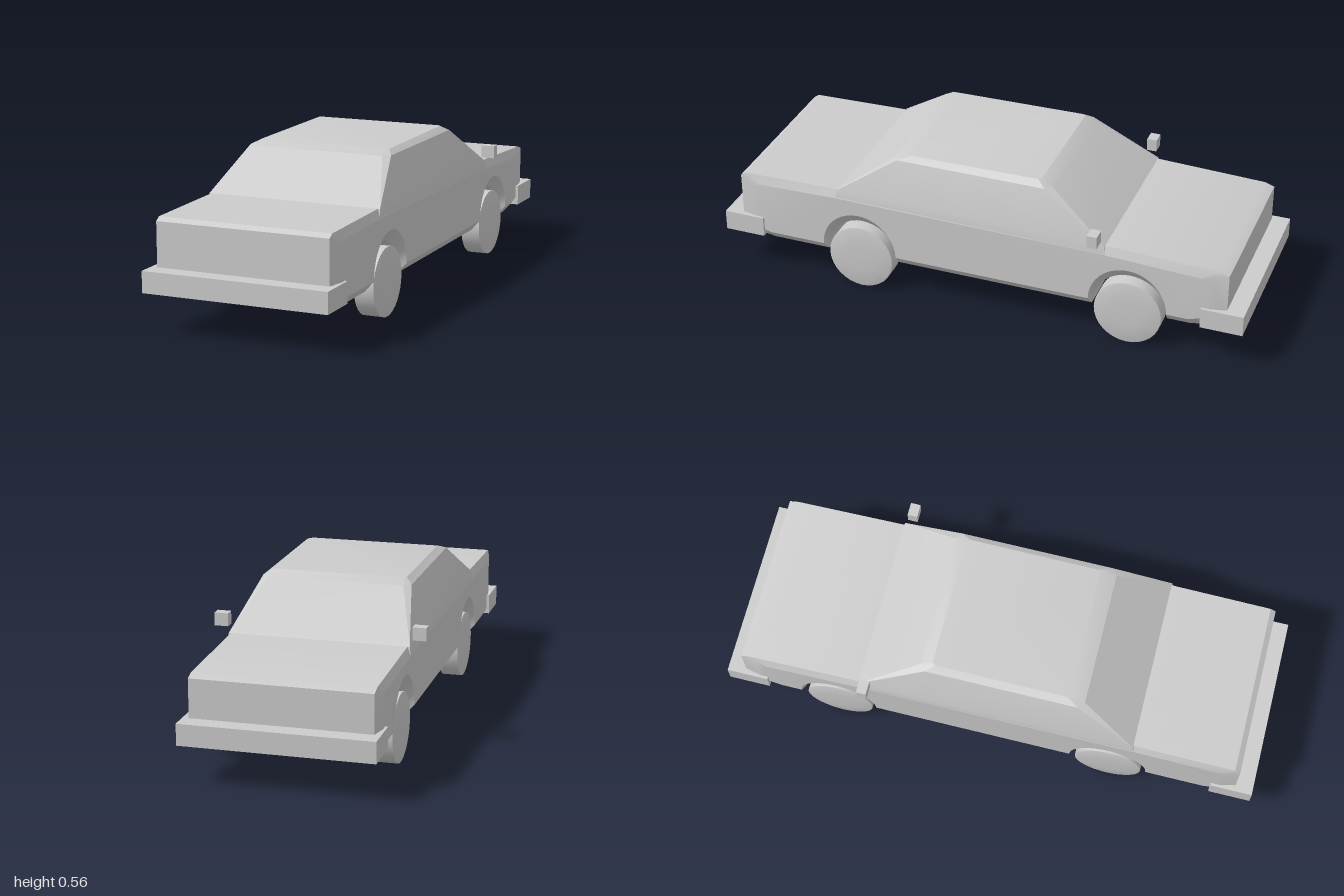
import * as THREE from 'three';
import { toCreasedNormals } from 'three/addons/utils/BufferGeometryUtils.js';

const material = new THREE.MeshStandardMaterial({ color: 0xcccccc });
const AXLES = [-0.575, 0.458];

function add(group, name, geometry, x = 0, y = 0, z = 0) {
  const mesh = new THREE.Mesh(geometry, material);
  mesh.name = name;
  mesh.position.set(x, y, z);
  group.add(mesh);
  return mesh;
}

// Skins a stack of rings with equal point counts; flat() gives 2D points for the end caps
function loft(rings, flat, capStart, capEnd) {
  const n = rings[0].length;
  const index = [];
  for (let r = 0; r < rings.length - 1; r++) {
    for (let j = 0; j < n; j++) {
      const a = r * n + j, b = r * n + (j + 1) % n;
      index.push(a, a + n, b, b, a + n, b + n);
    }
  }
  const cap = (r, flip) => {
    for (const [a, b, c] of THREE.ShapeUtils.triangulateShape(rings[r].map(flat), [])) {
      const o = r * n;
      index.push(o + a, o + (flip ? c : b), o + (flip ? b : c));
    }
  };
  if (capStart) cap(0, false);
  if (capEnd) cap(rings.length - 1, true);
  const geometry = new THREE.BufferGeometry().setFromPoints(rings.flat());
  geometry.setIndex(index);
  return toCreasedNormals(geometry, 0.35);
}

// Side outline of the lower body with both wheel arches, at one x station
function bodyOutline({ x, bottom, end, drop, archWidth, archTop }) {
  const pts = [[-0.935 + end, bottom + 0.025], [-0.8, bottom]];
  for (const c of AXLES) {
    for (let i = 0; i <= 20; i++) {
      const t = Math.PI * i / 20;
      pts.push([c - archWidth * Math.cos(t), bottom + (archTop - bottom) * Math.sin(t)]);
    }
  }
  pts.push(
    [0.82, bottom], [0.935 - end, bottom + 0.02],
    [0.935 - end, 0.38 - drop], [0.915 - end, 0.393 - drop],
    [0.54, 0.4 - drop], [-0.48, 0.388 - drop],
    [-0.9 + end, 0.372 - drop], [-0.935 + end, 0.36 - drop],
  );
  return pts.map(([z, y]) => new THREE.Vector3(x, y, z));
}

function bodyGeometry() {
  const half = [
    { x: 0.333, bottom: 0.16, end: 0.06, drop: 0.032, archWidth: 0.145, archTop: 0.31 },
    { x: 0.32, bottom: 0.146, end: 0, drop: 0, archWidth: 0.143, archTop: 0.295 },
    { x: 0.297, bottom: 0.12, end: 0, drop: 0, archWidth: 0.14, archTop: 0.268 },
  ];
  const stations = [...half.map(s => ({ ...s, x: -s.x })), ...half.slice().reverse()];
  return loft(stations.map(bodyOutline), p => new THREE.Vector2(p.z, p.y), true, true);
}

// Cabin ring: a rectangle with corners cut by cx and cz
function cabinRing({ x, front, rear, yFront, yRear, cx = 0, cz = 0 }) {
  const right = [[x - cx, yFront, front], [x, yFront, front + cz], [x, yRear, rear - cz], [x - cx, yRear, rear]];
  const left = right.map(([a, b, c]) => [-a, b, c]).reverse();
  return [...right, ...left].map(p => new THREE.Vector3(...p));
}

function cabinGeometry() {
  const rings = [
    { x: 0.333, front: -0.49, rear: 0.55, yFront: 0.355, yRear: 0.36 },
    { x: 0.328, front: -0.485, rear: 0.54, yFront: 0.388, yRear: 0.4 },
    { x: 0.275, front: -0.262, rear: 0.34, yFront: 0.543, yRear: 0.543, cx: 0.025, cz: 0.02 },
    { x: 0.25, front: -0.22, rear: 0.285, yFront: 0.562, yRear: 0.558, cx: 0.01, cz: 0.01 },
  ];
  return loft(rings.map(cabinRing), p => new THREE.Vector2(p.x, p.z), false, true);
}

// Wheel with a flat inner face and a slightly domed outer face, outer side towards +x
function wheelGeometry() {
  const profile = [[0, 0], [0.125, 0], [0.125, 0.073], [0.119, 0.075], [0.06, 0.078], [0, 0.079]];
  const geometry = new THREE.LatheGeometry(profile.map(p => new THREE.Vector2(...p)), 32);
  geometry.rotateZ(-Math.PI / 2);
  return toCreasedNormals(geometry, 0.5);
}

export function createModel() {
  const car = new THREE.Group();
  car.name = 'car';

  add(car, 'lowerBody', bodyGeometry());
  add(car, 'cabin', cabinGeometry());

  // Bumpers wrap both ends
  const bumper = new THREE.BoxGeometry(0.686, 0.077, 0.155);
  add(car, 'bonnetBumper', bumper, 0, 0.182, -0.9225);
  add(car, 'bootBumper', bumper, 0, 0.182, 0.9225);

  // Wheels and side mirrors
  const wheel = wheelGeometry();
  const mirror = new THREE.BoxGeometry(0.05, 0.047, 0.037);
  for (const side of [1, -1]) {
    const label = side > 0 ? 'left' : 'right';
    AXLES.forEach((z, i) => {
      const mesh = add(car, `${label}${i ? 'Boot' : 'Bonnet'}Wheel`, wheel, side * 0.249, 0.125, z);
      if (side < 0) mesh.rotation.y = Math.PI;
    });
    add(car, `${label}Mirror`, mirror, side * 0.359, 0.432, -0.455);
  }
  return car;
}
